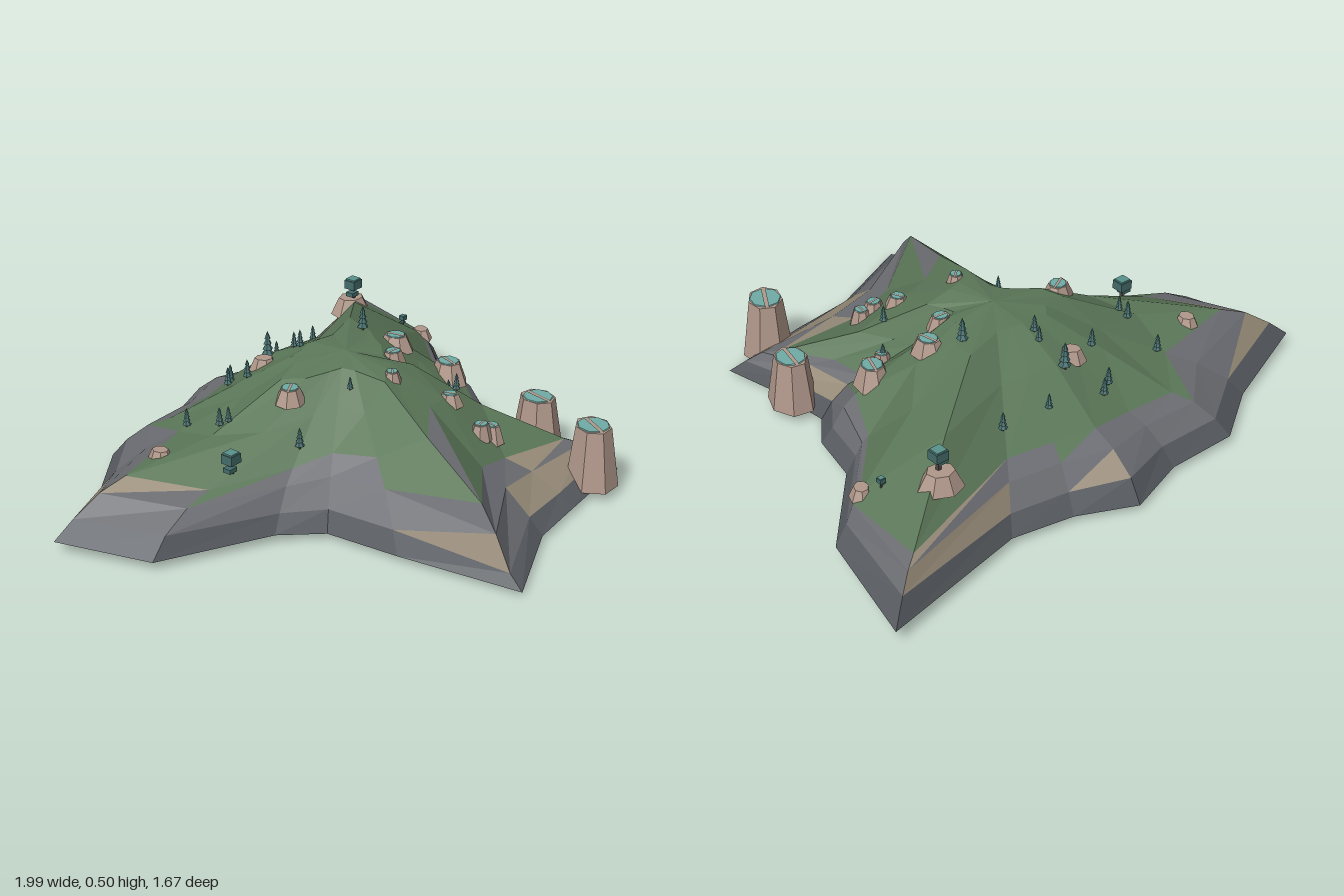
import * as THREE from 'three';

const mat = (color) => new THREE.MeshStandardMaterial({ color, flatShading: true });
const M = {
  grass: mat(0x5c7859), stone: mat(0x6b6d72), sand: mat(0x988c79), cliff: mat(0x585c61),
  underside: mat(0x585a5d), rock: mat(0xb0978a), cap: mat(0x70aca6), pine: mat(0x446c6b),
  leaf: mat(0x5a928c), trunk: mat(0x4a4440),
};

// Coast points: x, z, base y, rim y, grass border (fraction from peak), border y, inner y
const SPOKES = [
  [-1, -.47, .04, .10, .76, .20, .255], [-.64, -.62, .03, .09, .68, .205, .305],
  [-.44, -.76, .03, .09, .75, .17, .30], [-.19, -.76, .025, .09, .75, .18, .32],
  [.02, -.83, .02, .10, .70, .20, .34], [.22, -.745, .025, .09, .75, .20, .34],
  [.44, -.71, .03, .09, .75, .20, .335], [.99, -.84, .05, .12, .83, .18, .335],
  [.89, -.42, .05, .10, .85, .165, .295], [.645, -.15, .05, .10, .85, .15, .335],
  [.60, .04, .04, .09, .80, .20, .315], [.49, .19, 0, .07, .75, .165, .275],
  [.53, .43, .01, .07, .70, .15, .25], [.57, .60, .01, .06, .80, .12, .24],
  [.24, .65, .02, .06, .70, .15, .32], [.02, .68, .02, .07, .70, .185, .335],
  [-.30, .83, .015, .05, .78, .22, .315], [-.37, .40, .02, .09, .62, .24, .32],
  [-.395, .14, .02, .09, .70, .23, .33], [-.52, .03, .03, .09, .75, .20, .31],
  [-.89, -.15, .03, .10, .72, .18, .285],
];
const PEAK = [.03, .43, -.13];

function mesh(name, geometry, material, x = 0, y = 0, z = 0) {
  const m = new THREE.Mesh(geometry, material);
  m.name = name;
  m.position.set(x, y, z);
  return m;
}

// Island surface: rings of each spoke joined in bands, sorted by ground type
function terrain() {
  const tris = { grass: [], stone: [], sand: [], cliff: [], underside: [] };
  const rings = SPOKES.map(([x, z, base, rim, g, yG, yIn]) => {
    const at = (t, y) => [PEAK[0] + (x - PEAK[0]) * t, y, PEAK[2] + (z - PEAK[2]) * t];
    return [
      at(1, base), at(.935, rim), at((.935 + g) / 2, (rim + yG) / 2 + .015),
      at(g, yG), at(g * .62, yIn), at(g * .3, yIn * .35 + PEAK[1] * .65 + .02),
    ];
  });
  const sandy = new Set([0, 4, 6, 11, 13, 14, 16]);
  const rockFace = 15; // bare slope beside the front ridge
  rings.forEach((a, i) => {
    const b = rings[(i + 1) % rings.length];
    for (let j = 0; j < 5; j++) {
      const first = j === 0 ? 'cliff' : j >= 3 ? 'grass' : j === 1 && sandy.has(i) ? 'sand' : 'stone';
      let second = first;
      if (j === 1 && i % 4 === 0) second = 'stone';
      if (j === 2 && i % 3 === 1) second = 'grass';
      if (j === 2 && i % 7 === 6) second = 'sand';
      if (j === 3 && i === rockFace) second = 'stone';
      tris[first].push(...a[j], ...a[j + 1], ...b[j]);
      tris[second].push(...b[j], ...a[j + 1], ...b[j + 1]);
    }
    tris.grass.push(...PEAK, ...b[5], ...a[5]);
    tris.underside.push(PEAK[0], .02, PEAK[2], ...a[0], ...b[0]);
  });
  const group = new THREE.Group();
  group.name = 'island';
  for (const [name, points] of Object.entries(tris)) {
    const g = new THREE.BufferGeometry();
    g.setAttribute('position', new THREE.Float32BufferAttribute(points, 3));
    g.computeVertexNormals();
    group.add(mesh(name, g, M[name]));
  }
  return group;
}

// Flat-topped boulder, optionally with a split mossy cap
function boulder(r, h, taper, capped, turn) {
  const g = new THREE.Group();
  g.name = 'boulder';
  const sink = .02, top = r * taper;
  g.add(mesh('boulderBody', new THREE.CylinderGeometry(top, r, h + sink, 7), M.rock, 0, (h - sink) / 2, 0));
  if (capped) {
    for (const s of [0, 1]) {
      const half = new THREE.CylinderGeometry(top * .78, top * .82, .004, 4, 1, false, s * Math.PI, Math.PI);
      g.add(mesh('mossCap', half, M.cap, (s ? -1 : 1) * top * .1, h + .001, 0));
    }
  }
  g.rotation.y = turn;
  g.scale.z = 1.12;
  g.scale.x = .94;
  return g;
}

// Conifer with stacked cones
function pine(h) {
  const g = new THREE.Group();
  g.name = 'pine';
  g.add(mesh('trunk', new THREE.CylinderGeometry(h * .05, h * .06, h * .4, 5), M.trunk, 0, h * .1, 0));
  for (let i = 0; i < 4; i++) {
    const cone = new THREE.ConeGeometry(h * (.22 - i * .038), h * .28, 6);
    g.add(mesh('branches', cone, M.pine, 0, h * (.29 + i * .19), 0));
  }
  return g;
}

// Broad tree with blocky crowns
function broadTree(s) {
  const g = new THREE.Group();
  g.name = 'broadTree';
  g.add(mesh('trunk', new THREE.CylinderGeometry(.1 * s, .13 * s, .9 * s, 5), M.trunk, 0, .3 * s, 0));
  g.add(mesh('crown', new THREE.BoxGeometry(.62 * s, .42 * s, .58 * s), M.pine, 0, .74 * s, 0));
  g.add(mesh('crownTop', new THREE.BoxGeometry(.5 * s, .08 * s, .48 * s), M.leaf, 0, .98 * s, 0));
  g.add(mesh('sideCrown', new THREE.BoxGeometry(.45 * s, .2 * s, .4 * s), M.pine, -.2 * s, .32 * s, .1 * s));
  return g;
}

export function createModel() {
  const model = new THREE.Group();
  model.name = 'hillIsland';
  const island = terrain();
  model.add(island);

  // Drop an object onto the ground at x, z
  const ray = new THREE.Raycaster();
  const place = (object, x, z, lift = 0) => {
    ray.set(new THREE.Vector3(x, 2, z), new THREE.Vector3(0, -1, 0));
    const hit = ray.intersectObject(island, true)[0];
    object.position.set(x, (hit ? hit.point.y : .05) + lift, z);
    model.add(object);
  };

  // Rock columns on the shore
  [[.41, .60, .092, .185], [.525, .30, .085, .155]].forEach(([x, z, r, h], i) => {
    const column = boulder(r, h, .68, true, i * .3 - .5);
    column.name = 'rockColumn';
    column.position.set(x, .05, z);
    model.add(column);
  });

  // Boulders on the hill: x, z, radius, height, capped
  [
    [-.60, -.38, .042, .02, 0], [.615, -.585, .068, .04, 0], [.755, -.375, .042, .018, 0],
    [-.06, -.41, .045, .025, 0], [-.24, -.14, .055, .03, 1], [.29, -.125, .058, .035, 1],
    [.18, -.05, .046, .03, 1], [.42, 0, .068, .055, 1], [.32, .08, .034, .035, 1],
    [.01, .08, .036, .02, 1], [.15, .21, .042, .022, 1], [.16, .33, .042, .035, 1],
    [.205, .34, .042, .04, 1],
  ].forEach(([x, z, r, h, capped], i) => place(boulder(r, h, .6, capped, i * 1.3), x, z));

  // Conifers: x, z, height
  [
    [-.40, -.45, .07], [-.125, -.515, .07], [-.085, -.54, .07], [0, -.445, .10], [-.155, -.40, .07],
    [.02, -.345, .06], [.01, -.31, .065], [.125, -.515, .06], [.30, -.50, .07], [.23, -.22, .09],
    [-.405, -.30, .07], [-.395, -.27, .06], [-.325, -.03, .075], [-.095, -.01, .05],
    [.315, .08, .07], [.245, .165, .065],
  ].forEach(([x, z, h]) => place(pine(h), x, z, -.003));

  // Broad trees
  place(broadTree(.075), -.54, -.13, -.008);
  place(broadTree(.075), .615, -.575, .025);
  place(broadTree(.035), .72, -.43);
  return model;
}
